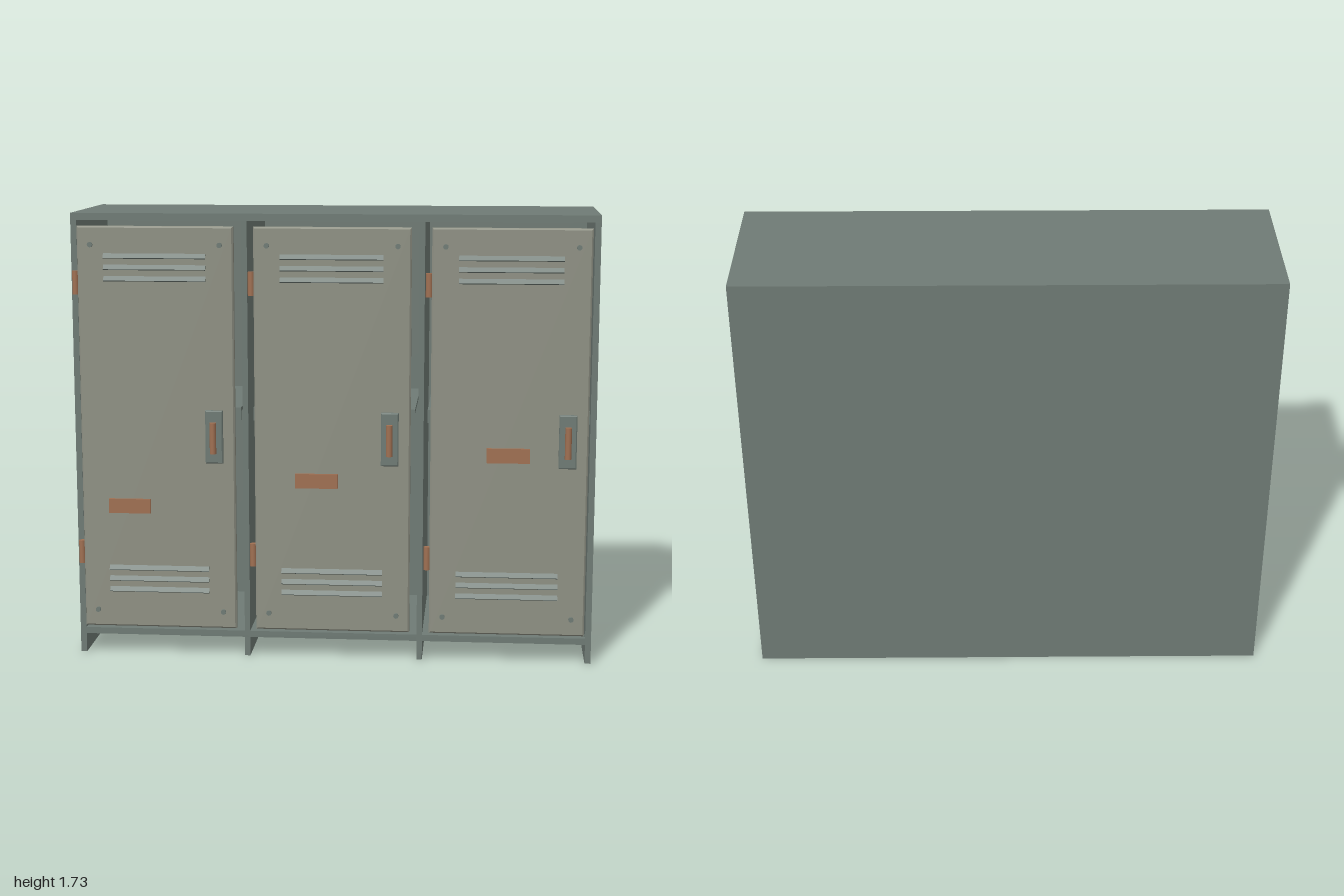
import * as THREE from 'three';

const material = (color) => new THREE.MeshStandardMaterial({ color });

export function createModel() {
  const root = new THREE.Group();
  root.name = 'lockerBank';
  const steel = material(0x6f7b75);
  const doorPaint = material(0x8f9184);
  const copper = material(0xa07052);

  const add = (parent, name, geometry, mat, x, y, z) => {
    const mesh = new THREE.Mesh(geometry, mat);
    mesh.name = name;
    mesh.position.set(x, y, z);
    parent.add(mesh);
    return mesh;
  };
  // Box given by its limits on each axis
  const panel = (parent, name, mat, x0, x1, y0, y1, z0, z1) =>
    add(parent, name, new THREE.BoxGeometry(x1 - x0, y1 - y0, z1 - z0), mat,
      (x0 + x1) / 2, (y0 + y1) / 2, (z0 + z1) / 2);
  // Plate lying in the xy plane with chamfered edges, centred on the origin
  const chamferedPlate = (w, h, d, c) => {
    const a = w / 2 - c, b = h / 2 - c;
    const shape = new THREE.Shape([
      new THREE.Vector2(-a, -b), new THREE.Vector2(a, -b),
      new THREE.Vector2(a, b), new THREE.Vector2(-a, b),
    ]);
    return new THREE.ExtrudeGeometry(shape, {
      depth: d - 2 * c, bevelEnabled: true, bevelThickness: c, bevelSize: c, bevelSegments: 1,
    }).translate(0, 0, c - d / 2);
  };

  // Carcass: walls and dividers reach the ground, the floor is raised
  const H = 1.727, back = -0.338, front = 0.247;
  const body = new THREE.Group();
  body.name = 'carcass';
  root.add(body);
  panel(body, 'backPanel', steel, -1, 1, 0, H, back, back + 0.012);
  panel(body, 'topPanel', steel, -1, 1, 1.7, H, back + 0.012, front);
  panel(body, 'floorPanel', steel, -0.977, 0.977, 0.075, 0.1, back + 0.012, front);
  for (const s of [-1, 1]) {
    panel(body, 'sideWall', steel, s * 0.9885 - 0.0115, s * 0.9885 + 0.0115, 0, 1.7, back + 0.012, front);
    panel(body, 'divider', steel, s * 0.3365 - 0.0105, s * 0.3365 + 0.0105, 0, 1.7, back + 0.012, front);
  }

  // Geometry shared by the three doors
  const doorGeo = chamferedPlate(0.596, 1.562, 0.031, 0.006);
  const slatGeo = new THREE.BoxGeometry(0.39, 0.02, 0.006);
  const rivetGeo = new THREE.CylinderGeometry(0.01, 0.01, 0.012, 12).rotateX(Math.PI / 2);
  const hingeGeo = new THREE.CylinderGeometry(0.013, 0.013, 0.09, 12);
  const plateGeo = chamferedPlate(0.067, 0.205, 0.02, 0.004);
  const handleGeo = new THREE.CylinderGeometry(0.0125, 0.0125, 0.12, 12);
  const labelGeo = new THREE.BoxGeometry(0.163, 0.056, 0.012);

  // Label position differs from door to door
  const labels = [[-0.113, 0.602], [-0.06, 0.712], [-0.003, 0.822]];
  labels.forEach(([labelX, labelY], i) => {
    const locker = new THREE.Group();
    locker.name = 'locker' + (i + 1);
    locker.position.x = (i - 1) * 0.672;
    root.add(locker);

    // Inner shelf with a turned-down front lip
    panel(locker, 'shelf', steel, -0.312, 0.312, 0.965, 0.98, back + 0.012, 0.2);
    panel(locker, 'shelfLip', steel, -0.312, 0.312, 0.93, 0.965, 0.188, 0.2);

    add(locker, 'door', doorGeo, doorPaint, 0, 0.899, 0.2655);

    // Tilted ventilation slats
    for (const base of [0.27, 1.482])
      for (let k = 0; k < 3; k++)
        add(locker, 'ventSlat', slatGeo, steel, -0.002, base + k * 0.043, 0.287).rotation.x = -0.6;

    for (const x of [-0.247, 0.247])
      for (const y of [0.185, 1.61]) add(locker, 'rivet', rivetGeo, steel, x, y, 0.284);

    for (const y of [0.413, 1.465]) add(locker, 'hinge', hingeGeo, copper, -0.308, y, 0.268);

    add(locker, 'handlePlate', plateGeo, steel, 0.22, 0.879, 0.289);
    add(locker, 'handleBar', handleGeo, copper, 0.22, 0.88, 0.326);
    add(locker, 'labelPlate', labelGeo, copper, labelX, labelY, 0.286);
  });

  return root;
}
